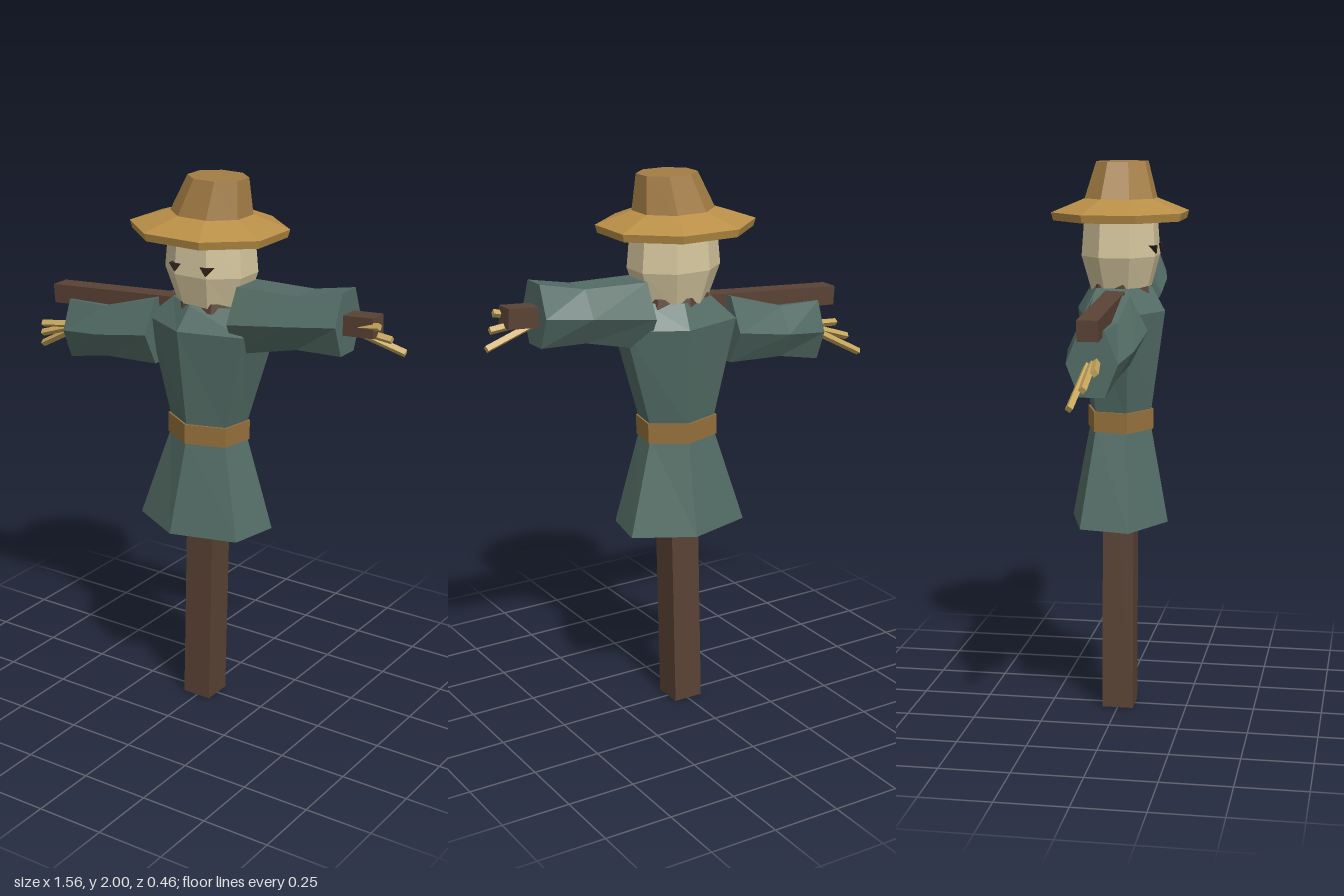
import * as THREE from 'three';

const mat = (name, color) => {
  const m = new THREE.MeshStandardMaterial({ color, flatShading: true });
  m.name = name;
  return m;
};

// Closed faceted solid through a list of rings with equal point counts
function loft(rings) {
  const pos = [];
  const tri = (a, b, c) => pos.push(...a, ...b, ...c);
  const n = rings[0].length;
  for (let r = 0; r < rings.length - 1; r++) {
    for (let i = 0; i < n; i++) {
      const j = (i + 1) % n;
      const [a, b, c, d] = [rings[r][i], rings[r][j], rings[r + 1][j], rings[r + 1][i]];
      tri(a, d, c);
      tri(a, c, b);
    }
  }
  const last = rings[rings.length - 1];
  for (let i = 1; i < n - 1; i++) {
    tri(rings[0][0], rings[0][i], rings[0][i + 1]);
    tri(last[0], last[i + 1], last[i]);
  }
  const g = new THREE.BufferGeometry();
  g.setAttribute('position', new THREE.Float32BufferAttribute(pos, 3));
  g.computeVertexNormals();
  return g;
}

// Horizontal ring: height, x centre, x radius, z radius
const flatRings = (sides, turn, rows) => rows.map(([y, cx, rx, rz]) =>
  Array.from({ length: sides }, (_, i) => {
    const t = turn + (i / sides) * Math.PI * 2;
    return [cx + rx * Math.cos(t), y, rz * Math.sin(t)];
  }));

// Upright ring along x: x, y centre, y radius, z radius
const armRings = (rows) => rows.map(([x, cy, ry, rz]) =>
  Array.from({ length: 6 }, (_, i) => {
    const t = (i / 6) * Math.PI * 2;
    return [x, cy + ry * Math.sin(t), rz * Math.cos(t)];
  }));

export function createModel() {
  const model = new THREE.Group();
  model.name = 'scarecrow';
  const wood = mat('dark wood', 0x5a4235);
  const cloth = mat('green cloth', 0x536c65);
  const leather = mat('belt leather', 0x96703c);
  const brimStraw = mat('hat brim straw', 0xb98f47);
  const crownStraw = mat('hat crown straw', 0xa37d44);
  const sack = mat('sackcloth', 0xd2c49c);
  const straw = mat('loose straw', 0xc6a65c);
  const dark = mat('eye brown', 0x33271f);

  const add = (name, geometry, material) => {
    const m = new THREE.Mesh(geometry, material);
    m.name = name;
    model.add(m);
    return m;
  };

  // Slightly leaning post and tilted crossbar
  const q = Math.PI / 4, h = 0.0566 * Math.SQRT2;
  add('post', loft(flatRings(4, q, [[0, -0.003, h, h], [1.53, 0.03, h, h]])), wood);
  const bar = add('crossbar', new THREE.BoxGeometry(1.345, 0.07, 0.072), wood);
  bar.position.set(0.018, 1.527, 0);
  bar.rotation.z = 0.07;

  // Coat: twisted hexagon sections from hem to neck
  const turn = THREE.MathUtils.degToRad(38);
  add('coat', loft(flatRings(6, turn, [
    [0.71, 0.002, 0.262, 0.183],
    [1.06, 0.014, 0.146, 0.115],
    [1.11, 0.015, 0.146, 0.115],
    [1.475, 0.025, 0.25, 0.166],
    [1.56, 0.03, 0.15, 0.115],
  ])), cloth);
  add('belt', loft(flatRings(6, turn, [
    [1.047, 0.013, 0.157, 0.124],
    [1.12, 0.015, 0.157, 0.124],
  ])), leather);

  // Sleeves, one hanging lower than the other
  add('leftSleeve', loft(armRings([
    [0.17, 1.52, 0.139, 0.126],
    [0.41, 1.551, 0.109, 0.114],
    [0.575, 1.569, 0.128, 0.087],
  ])), cloth);
  add('rightSleeve', loft(armRings([
    [-0.575, 1.361, 0.128, 0.087],
    [-0.4, 1.383, 0.109, 0.114],
    [-0.175, 1.423, 0.141, 0.126],
  ])), cloth);

  // Straw hands
  const stalk = (name, from, to) => {
    const a = new THREE.Vector3(...from), b = new THREE.Vector3(...to);
    const dir = b.clone().sub(a);
    const m = add(name, new THREE.CylinderGeometry(0.014, 0.014, dir.length(), 4, 1), straw);
    m.position.copy(a).lerp(b, 0.5);
    m.quaternion.setFromUnitVectors(new THREE.Vector3(0, 1, 0), dir.normalize());
  };
  [[0.775, 1.485, -0.038], [0.742, 1.535, 0], [0.712, 1.584, 0.034]].forEach((tip) =>
    stalk('leftHandStraw', [0.54, 1.555, tip[2] * 0.3], tip));
  [[-0.775, 1.245, -0.038], [-0.745, 1.302, 0], [-0.715, 1.353, 0.034]].forEach((tip) =>
    stalk('rightHandStraw', [-0.54, 1.372, tip[2] * 0.3], tip));

  // Sack head, neck tie and eyes
  const eighth = Math.PI / 8;
  add('head', loft(flatRings(8, eighth, [
    [1.545, 0.027, 0.125, 0.108],
    [1.67, 0.025, 0.172, 0.143],
    [1.82, 0.025, 0.158, 0.132],
  ])), sack);
  add('neckTie', loft(flatRings(7, 0.2, [
    [1.54, 0.03, 0.14, 0.118],
    [1.574, 0.03, 0.134, 0.112],
  ])), wood);
  [-0.038, 0.09].forEach((x, i) => {
    const eye = add(i ? 'leftEye' : 'rightEye', new THREE.CylinderGeometry(0.026, 0.026, 0.03, 3), dark);
    eye.rotation.x = Math.PI / 2;
    eye.scale.z = 0.75;
    eye.position.set(x, 1.7, 0.122);
  });

  // Hat with a wide brim and a crown leaning to one side
  add('hatBrim', loft(flatRings(8, eighth, [
    [1.797, 0.015, 0.284, 0.242],
    [1.825, 0.015, 0.292, 0.25],
    [1.872, 0.022, 0.15, 0.132],
  ])), brimStraw);
  add('hatCrown', loft(flatRings(8, eighth, [
    [1.865, 0.024, 0.152, 0.134],
    [2, 0.052, 0.111, 0.095],
  ])), crownStraw);

  return model;
}
